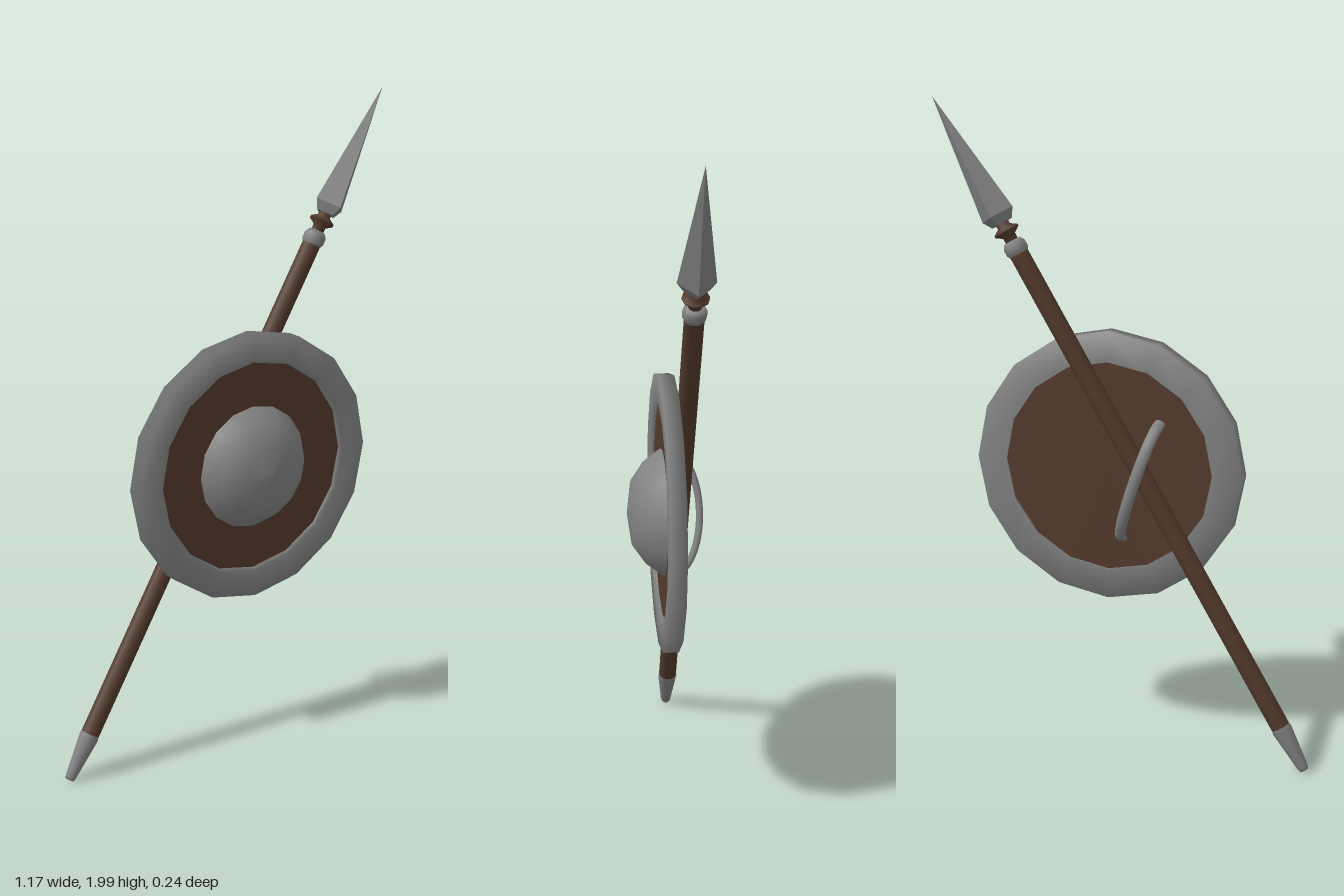
import * as THREE from 'three';

const steel = new THREE.MeshStandardMaterial({ color: 0x828282 });
steel.name = 'steel';
const wood = new THREE.MeshStandardMaterial({ color: 0x533a2c });
wood.name = 'wood';

// Flat-shaded twin of the steel colour for the blade is made by splitting its faces.
function lathe(name, profile, sides, material, faceted = false) {
  const points = profile.map(([r, y]) => new THREE.Vector2(r, y));
  let geometry = new THREE.LatheGeometry(points, sides);
  if (faceted) {
    geometry = geometry.toNonIndexed();
    geometry.computeVertexNormals();
  }
  const mesh = new THREE.Mesh(geometry, material);
  mesh.name = name;
  return mesh;
}

// Round shield, built along y and turned to face +z
function makeShield() {
  const shield = new THREE.Group();
  shield.name = 'shield';
  shield.add(lathe('shieldRim', [
    [0.325, -0.02], [0.418, -0.02], [0.418, 0.028], [0.335, 0.028], [0.325, 0.01], [0.325, -0.02],
  ], 16, steel));

  const board = new THREE.Mesh(new THREE.CylinderGeometry(0.33, 0.33, 0.03, 16), wood);
  board.name = 'shieldBoard';
  shield.add(board);

  shield.add(lathe('shieldBoss', [
    [0.195, 0.01], [0.182, 0.03], [0.152, 0.07], [0.098, 0.108], [0, 0.122],
  ], 16, steel));
  shield.rotation.x = Math.PI / 2;
  shield.position.set(0.06, 0.903, 0);
  return shield;
}

// Arched strap on the back of the shield
function makeHandle() {
  const path = [];
  for (let i = 0; i <= 8; i++) {
    const a = (i / 8) * Math.PI;
    path.push(new THREE.Vector3(0, -0.195 * Math.cos(a), -0.01 - 0.097 * Math.sin(a)));
  }
  const curve = new THREE.CatmullRomCurve3(path);
  const handle = new THREE.Mesh(new THREE.TubeGeometry(curve, 20, 0.011, 8), steel);
  handle.name = 'handle';
  handle.scale.x = 1.6;
  handle.rotation.z = 0.31;
  handle.position.set(-0.043, 0.867, 0);
  return handle;
}

// Spear, built upwards from its butt and then leaned over
function makeSpear() {
  const spear = new THREE.Group();
  spear.name = 'spear';
  spear.add(
    lathe('buttCap', [[0, 0], [0.014, 0], [0.017, 0.01], [0.031, 0.14], [0.028, 0.16]], 10, steel),
    lathe('shaft', [[0.029, 0.15], [0.029, 1.79]], 10, wood),
    lathe('collar', [[0.028, 1.772], [0.035, 1.784], [0.035, 1.804], [0.026, 1.818], [0, 1.818]], 10, steel),
    lathe('neck', [[0.019, 1.81], [0.02, 1.835], [0.039, 1.848], [0.039, 1.854], [0.02, 1.866], [0.02, 1.9]], 10, wood),
    lathe('blade', [[0, 1.875], [0.036, 1.877], [0.055, 1.905], [0, 2.297]], 4, steel, true),
  );
  spear.rotation.z = -0.529;
  spear.position.set(-0.574, 0.012, -0.05);
  return spear;
}

export function createModel() {
  const model = new THREE.Group();
  model.name = 'shieldAndSpear';
  model.add(makeShield(), makeHandle(), makeSpear());
  return model;
}
